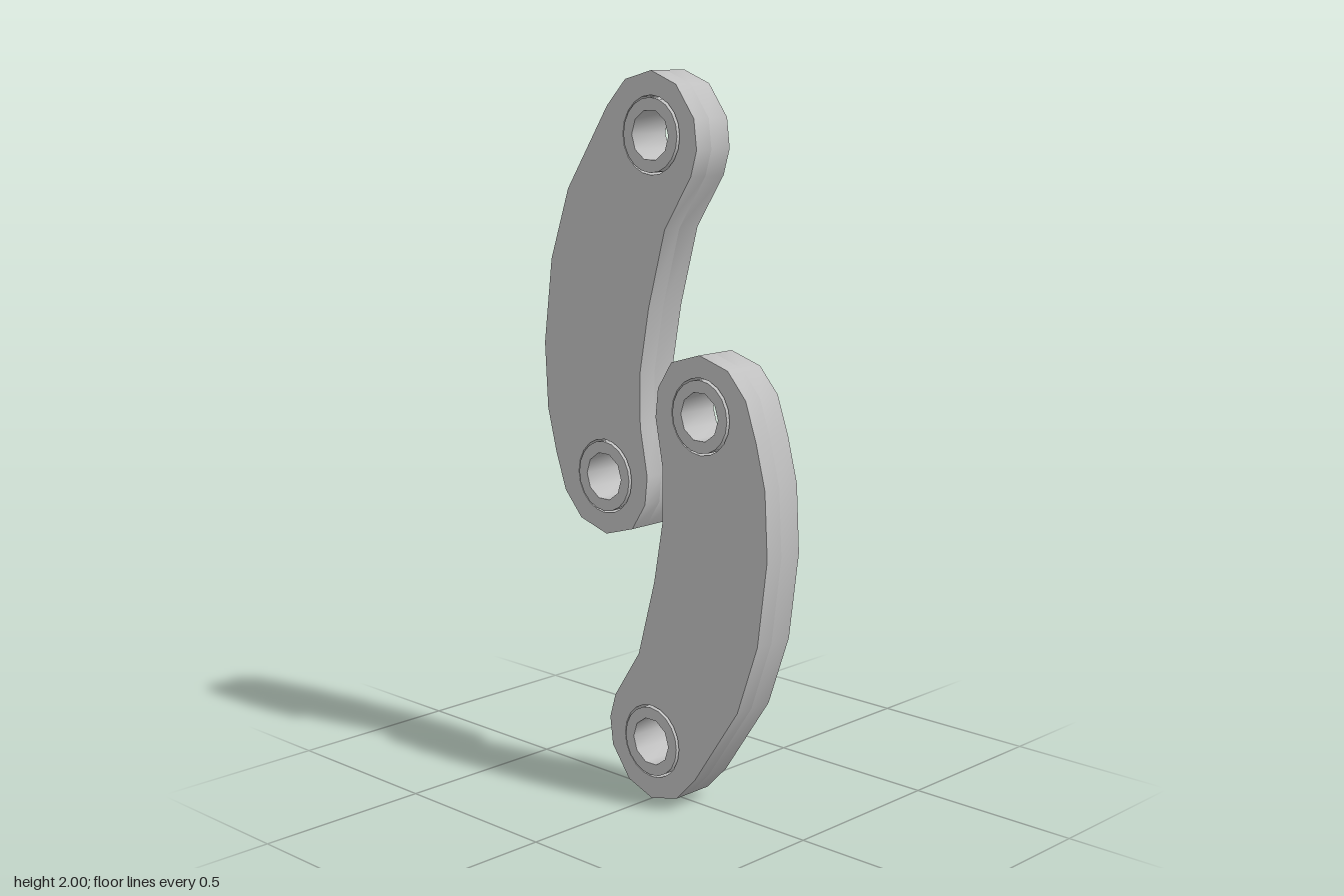
import * as THREE from 'three';
import { toCreasedNormals } from 'three/addons/utils/BufferGeometryUtils.js';

// Profiles are [z, y] with y measured from the floor
const OUTLINE = [
  [0.175, 1.27], [0.074, 1.24], [0.025, 1.165], [0.016, 1.085], [0.042, 0.95], [0.042, 0.80],
  [0.01, 0.625], [-0.05, 0.41], [-0.143, 0.27], [-0.164, 0.20], [-0.154, 0.12], [-0.09, 0.034],
  [0, 0], [0.095, 0.024], [0.164, 0.095], [0.318, 0.323], [0.387, 0.52], [0.418, 0.758],
  [0.408, 0.943], [0.376, 1.065], [0.339, 1.17], [0.276, 1.24],
];
const RECESS = [
  [0.344, 0.965], [0.371, 0.917], [0.376, 0.73], [0.344, 0.51], [0.27, 0.313], [0.233, 0.254],
  [0.164, 0.233], [0.095, 0.26], [0.01, 0.323], [-0.008, 0.37], [0.016, 0.466], [0.064, 0.62],
  [0.09, 0.784], [0.08, 0.89], [0.117, 0.943], [0.19, 0.96], [0.286, 0.986],
];
const PIVOTS = [[0.18, 1.107], [0, 0.167]];
const BACK = -0.062, FLOOR = -0.006, FACE = 0.064;

const toPoints = (list) => list.map(([z, y]) => new THREE.Vector2(-z, y - 1));

function circle([z, y], radius, sides) {
  const points = [];
  for (let i = 0; i < sides; i++) {
    const a = (i / sides) * Math.PI * 2;
    points.push(new THREE.Vector2(-z + radius * Math.cos(a), y - 1 + radius * Math.sin(a)));
  }
  return points;
}

// Extrude a profile with holes along x, between x0 and x1
function plate(points, holes, x0, x1) {
  const shape = new THREE.Shape(points);
  holes.forEach((h) => shape.holes.push(new THREE.Path(h)));
  const geometry = new THREE.ExtrudeGeometry(shape, { depth: x1 - x0, bevelEnabled: false });
  geometry.translate(0, 0, x0);
  geometry.rotateY(Math.PI / 2);
  return toCreasedNormals(geometry, 0.65);
}

export function createModel() {
  const metal = new THREE.MeshStandardMaterial({ color: 0xc0c0c0 });
  metal.name = 'grey metal';

  const sockets = PIVOTS.map((p) => circle(p, 0.104, 20));
  const webGeometry = plate(toPoints(OUTLINE), sockets, BACK, FLOOR);
  const rimGeometry = plate(toPoints(OUTLINE), [...sockets, toPoints(RECESS)], FLOOR, FACE);
  // Bushings stand slightly proud of the back face
  const bushingGeometries = PIVOTS.map((p) =>
    plate(circle(p, 0.098, 20), [circle(p, 0.067, 10)], -0.066, 0.061));

  function makeLink(name) {
    const link = new THREE.Group();
    link.name = name;
    const add = (geometry, part) => {
      const mesh = new THREE.Mesh(geometry, metal);
      mesh.name = part;
      link.add(mesh);
    };
    add(webGeometry, 'backPlate');
    add(rimGeometry, 'recessRim');
    add(bushingGeometries[0], 'upperBushing');
    add(bushingGeometries[1], 'lowerBushing');
    link.position.y = 1;
    return link;
  }

  // The two links are the same part, turned half a turn about the x axis
  const model = new THREE.Group();
  model.name = 'curvedLinkPair';
  const lower = makeLink('lowerLink');
  const upper = makeLink('upperLink');
  upper.rotation.x = Math.PI;
  model.add(lower, upper);
  return model;
}
